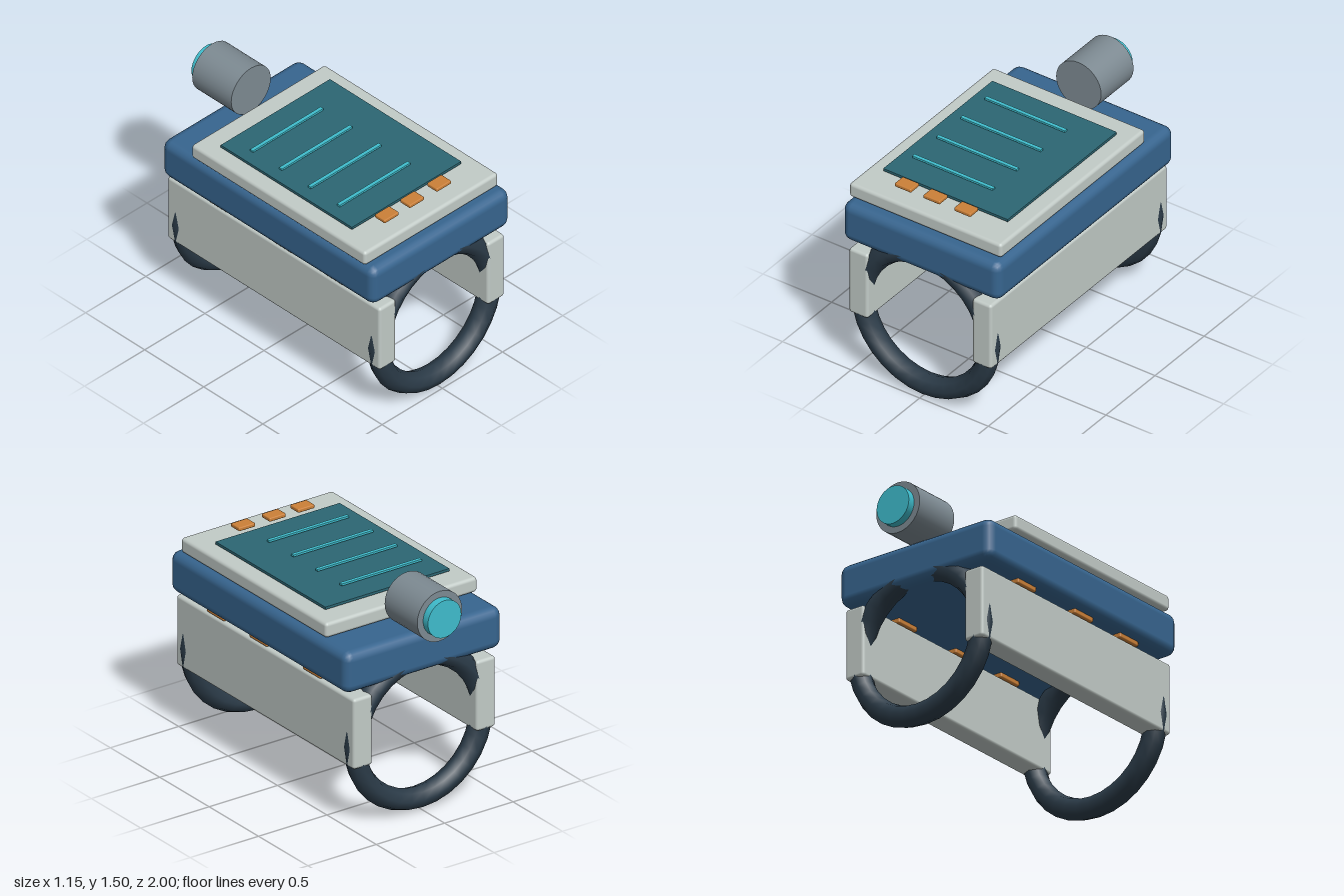
import * as THREE from 'three';
import { RoundedBoxGeometry } from 'three/addons/geometries/RoundedBoxGeometry.js';

export function createModel() {
  const model = new THREE.Group();
  model.name = 'wristDevice';

  const mat = (name, color) => {
    const m = new THREE.MeshStandardMaterial({ color });
    m.name = name;
    return m;
  };
  const blue = mat('blueShell', 0x37658f);
  const pale = mat('paleCasing', 0xc2cbc7);
  const dark = mat('darkStrap', 0x2b3b48);
  const teal = mat('tealScreen', 0x2c6673);
  const cyan = mat('cyanGlow', 0x3fbccc);
  const orange = mat('orangeButton', 0xcb8038);
  const grey = mat('greyMetal', 0x7d8a92);

  const add = (name, geometry, material, x, y, z) => {
    const mesh = new THREE.Mesh(geometry, material);
    mesh.name = name;
    mesh.position.set(x, y, z);
    model.add(mesh);
    return mesh;
  };
  // Box given by its min and max on each axis, with an optional edge radius
  const block = (name, material, [x0, x1], [y0, y1], [z0, z1], radius = 0) => {
    const size = [x1 - x0, y1 - y0, z1 - z0];
    const geometry = radius
      ? new RoundedBoxGeometry(...size, 2, radius)
      : new THREE.BoxGeometry(...size);
    return add(name, geometry, material, (x0 + x1) / 2, (y0 + y1) / 2, (z0 + z1) / 2);
  };

  // Main body and the offset top casing
  block('body', blue, [-0.575, 0.575], [0.917, 1.187], [-0.8, 1], 0.058);
  block('topCasing', pale, [-0.57, 0.54], [1.19, 1.288], [-0.547, 0.926], 0.022);

  // Screen with its readout lines
  block('screen', teal, [-0.47, 0.437], [1.296, 1.313], [-0.397, 0.714]);
  for (const z of [-0.217, 0.028, 0.273, 0.518]) {
    block('readoutLine', cyan, [-0.39, 0.195], [1.319, 1.332], [z - 0.012, z + 0.012]);
  }

  // Control buttons
  for (const x of [-0.248, -0.039, 0.185]) {
    block('button', orange, [x - 0.06, x + 0.06], [1.313, 1.338], [0.741, 0.827], 0.007);
  }

  // Side panels with the small pads between panel and body
  for (const s of [-1, 1]) {
    const panel = block('sidePanel', pale, [-0.07, 0.07], [0.418, 0.88], [-0.8, 1], 0.02);
    panel.position.x = s * 0.45;
    for (const z of [0.605, 0.172, -0.37]) {
      const pad = block('pad', orange, [-0.07, 0.07], [0.885, 0.918], [z - 0.088, z + 0.088], 0.009);
      pad.position.x = s * 0.45;
    }
  }

  // Strap rings at both ends
  for (const z of [0.93, -0.73]) {
    add('strapRing', new THREE.TorusGeometry(0.462, 0.07, 8, 32), dark, 0, 0.537, z);
  }

  // Rear sensor barrel and lens
  const barrel = new THREE.CylinderGeometry(0.164, 0.164, 0.33, 32).rotateX(Math.PI / 2);
  add('sensorBarrel', barrel, grey, 0, 1.346, -0.785);
  const lens = new THREE.CylinderGeometry(0.122, 0.122, 0.06, 32).rotateX(Math.PI / 2);
  add('sensorLens', lens, cyan, 0, 1.346, -0.97);

  return model;
}
